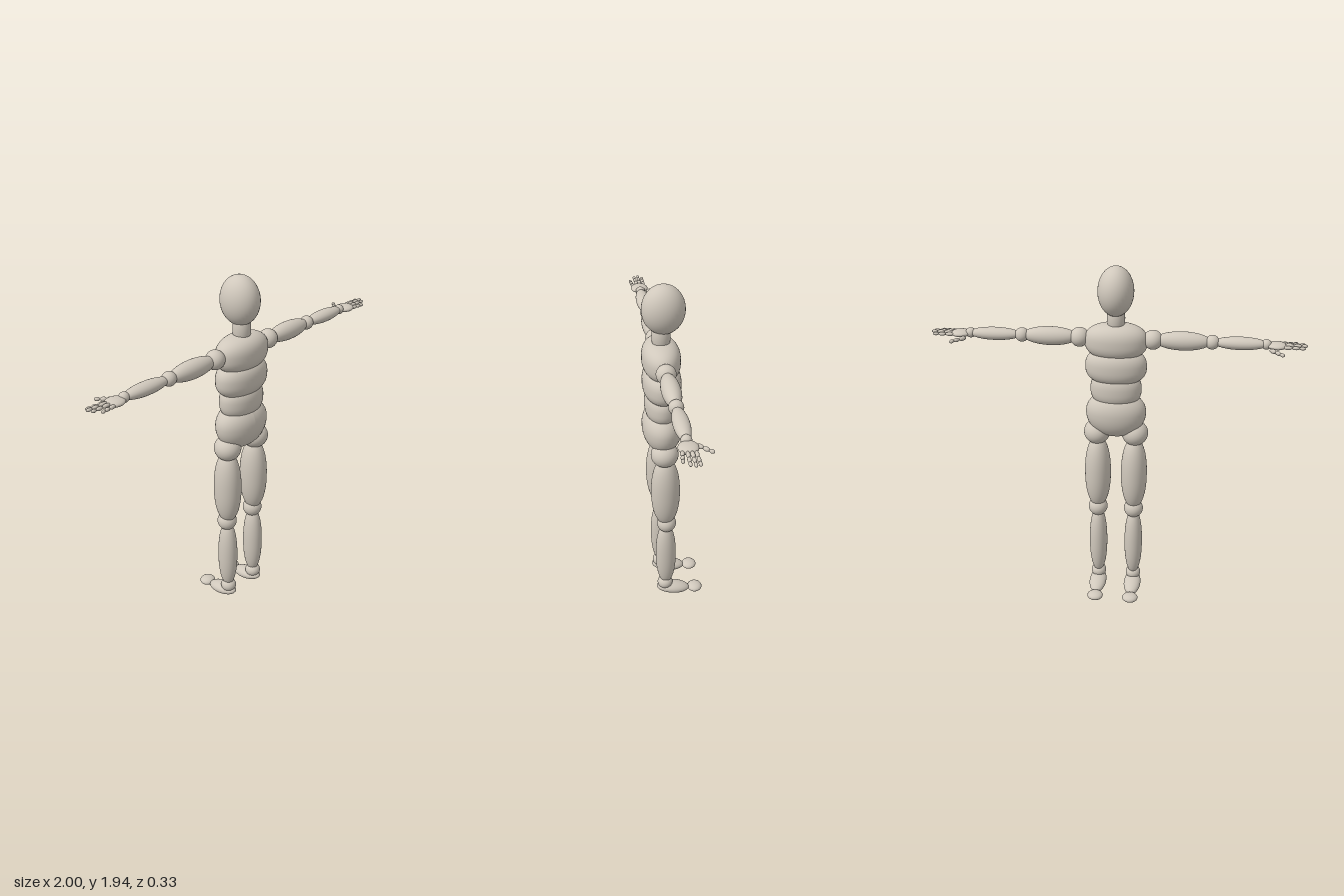
import * as THREE from 'three';

const wood = new THREE.MeshStandardMaterial({ color: 0xd0c8bc });
wood.name = 'pale wood';

const ball = new THREE.SphereGeometry(1, 36, 24);
const bead = new THREE.SphereGeometry(1, 14, 10);

// Unit lathe body with a superellipse profile; n above 2 is fuller than a sphere
function fullBody(n) {
  const pts = [];
  for (let i = 0; i <= 32; i++) {
    const a = -Math.PI / 2 + (Math.PI * i) / 32;
    const s = Math.sin(a);
    const c = i % 32 === 0 ? 0 : Math.cos(a);
    pts.push(new THREE.Vector2(c ** (2 / n), Math.sign(s) * Math.abs(s) ** (2 / n)));
  }
  return new THREE.LatheGeometry(pts, 40);
}

function part(parent, name, geometry, position, radii) {
  const mesh = new THREE.Mesh(geometry, wood);
  mesh.name = name;
  mesh.position.set(...position);
  mesh.scale.set(...radii);
  parent.add(mesh);
  return mesh;
}

// Row of beads from point a to point b, both [x, y, z]
function finger(parent, name, a, b, radius) {
  const start = new THREE.Vector3(...a), end = new THREE.Vector3(...b);
  const dir = end.clone().sub(start);
  const half = dir.length() / 6;
  const shares = [0.4, 0.33, 0.27];
  let t = 0;
  shares.forEach((share, i) => {
    const p = start.clone().addScaledVector(dir, t + share / 2);
    const r = radius * (1 - 0.08 * i);
    const m = part(parent, name + 'Joint' + (i + 1), bead, p.toArray(), [half * share * 3.25, r, r]);
    m.quaternion.setFromUnitVectors(new THREE.Vector3(1, 0, 0), dir.clone().normalize());
    t += share;
  });
}

function buildArm(side) {
  const arm = new THREE.Group();
  arm.name = side > 0 ? 'leftArm' : 'rightArm';
  const y = 1.553, z = 0.058;
  const at = (x, dy = 0, dz = 0) => [side * x, y + dy, z + dz];
  part(arm, 'shoulder', ball, at(0.195), [0.052, 0.052, 0.052]);
  part(arm, 'upperArm', ball, at(0.352), [0.15, 0.05, 0.049]);
  part(arm, 'elbow', ball, at(0.506), [0.038, 0.038, 0.038]);
  part(arm, 'forearm', ball, at(0.652), [0.142, 0.034, 0.041]);
  part(arm, 'wrist', ball, at(0.786), [0.027, 0.027, 0.027]);
  part(arm, 'palm', ball, at(0.84, -0.004), [0.053, 0.019, 0.048]);

  // Four fingers: base x, tip x, base z, tip z, height
  const fingers = [
    ['indexFinger', 0.872, 0.985, -0.028, -0.032, -0.004],
    ['middleFinger', 0.88, 0.997, -0.009, -0.009, 0.002],
    ['ringFinger', 0.878, 0.987, 0.011, 0.014, 0.001],
    ['littleFinger', 0.865, 0.952, 0.032, 0.042, -0.004],
  ];
  for (const [name, x0, x1, z0, z1, h] of fingers) {
    finger(arm, name, at(x0, h, z0), at(x1, h, z1), 0.0105);
  }
  finger(arm, 'thumb', at(0.805, -0.016, -0.04), at(0.874, -0.018, -0.112), 0.012);
  return arm;
}

function buildLeg(side, longBody) {
  const leg = new THREE.Group();
  leg.name = side > 0 ? 'leftLeg' : 'rightLeg';
  const at = (y, z, x = 0.102) => [side * x, y, z];
  part(leg, 'hipJoint', ball, at(1.007, 0.054, 0.105), [0.073, 0.07, 0.075]);
  part(leg, 'thigh', longBody, at(0.757, 0.05), [0.073, 0.22, 0.08]);
  part(leg, 'knee', ball, at(0.534, 0.045), [0.054, 0.054, 0.054]);
  part(leg, 'shin', longBody, at(0.307, 0.05), [0.051, 0.215, 0.058]);
  part(leg, 'ankle', ball, at(0.09, 0.055), [0.043, 0.04, 0.044]);
  const foot = part(leg, 'foot', ball, at(0.045, 0.008), [0.049, 0.033, 0.098]);
  foot.rotation.x = -0.17;
  part(leg, 'toes', ball, at(0.028, -0.122), [0.045, 0.023, 0.043]);
  return leg;
}

export function createModel() {
  const model = new THREE.Group();
  model.name = 'jointedFigure';

  // Head and neck
  part(model, 'head', ball, [0, 1.815, 0.041], [0.095, 0.132, 0.113]);
  part(model, 'neck', ball, [0, 1.665, 0.054], [0.048, 0.1, 0.049]);

  // Stacked torso
  const disc = fullBody(2.5);
  part(model, 'chest', disc, [0, 1.54, 0.055], [0.168, 0.098, 0.101]);
  part(model, 'ribs', disc, [0, 1.4, 0.053], [0.166, 0.102, 0.103]);
  part(model, 'waist', disc, [0, 1.27, 0.053], [0.139, 0.1, 0.093]);

  // Pelvis: flat above its widest line, deeper and rounder below
  const pelvis = fullBody(2.1);
  const pos = pelvis.attributes.position;
  for (let i = 0; i < pos.count; i++) {
    if (pos.getY(i) < 0) pos.setY(i, pos.getY(i) * 1.23);
  }
  pelvis.computeVertexNormals();
  part(model, 'pelvis', pelvis, [0, 1.135, 0.053], [0.165, 0.118, 0.108]);

  // Limbs
  const longBody = fullBody(2.2);
  for (const side of [-1, 1]) {
    model.add(buildArm(side), buildLeg(side, longBody));
  }
  return model;
}
